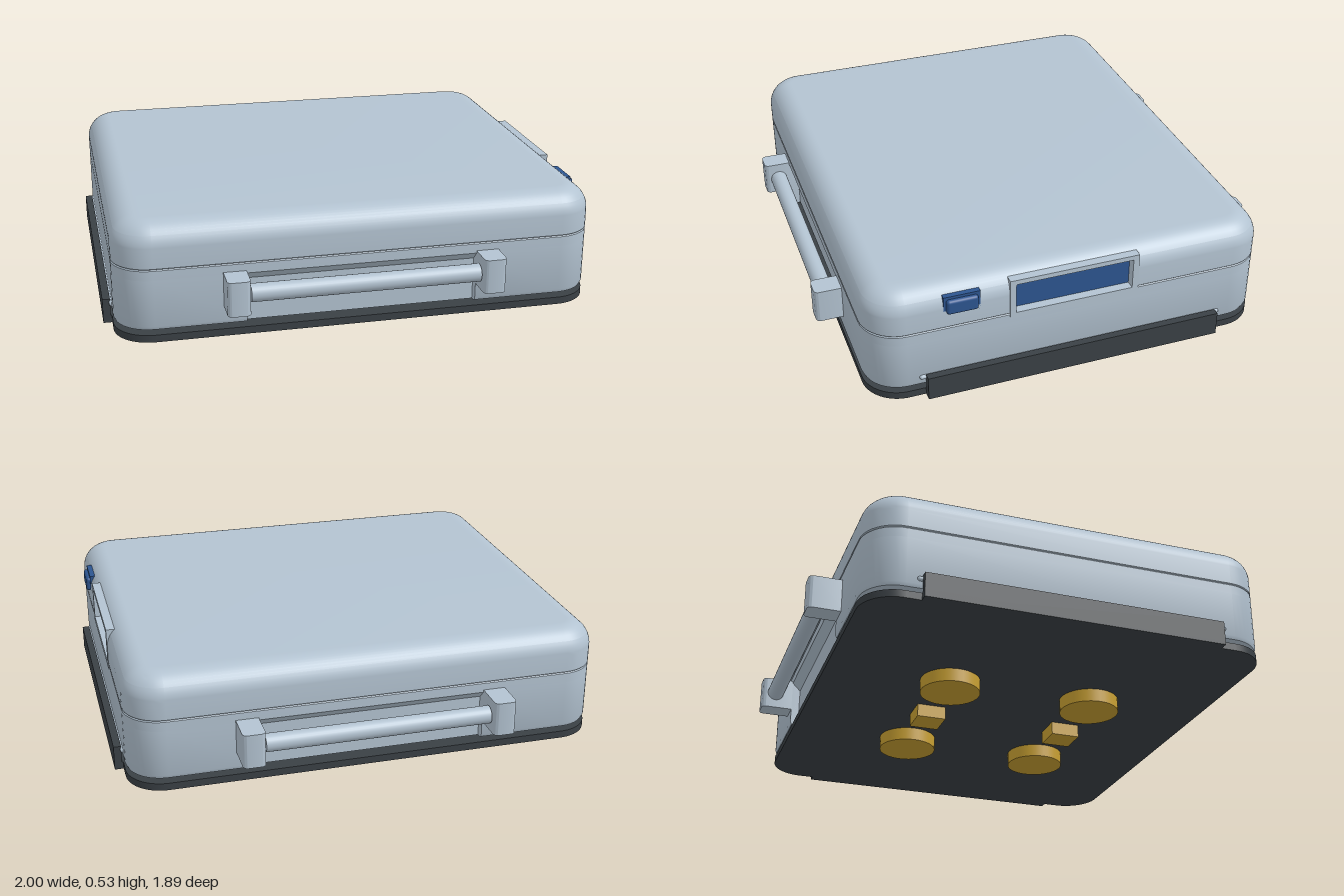
import * as THREE from 'three';
import { toCreasedNormals } from 'three/addons/utils/BufferGeometryUtils.js';
import { RoundedBoxGeometry } from 'three/addons/geometries/RoundedBoxGeometry.js';

const HX = 0.965, HZ = 0.824, ZC = 0.012, CORNER = 0.15;
const GRIP = { half: 0.46, depth: 0.035 };
const WINDOW = { z0: -0.225, z1: 0.255, x: 0.915 };

const mat = (name, color) => {
  const m = new THREE.MeshStandardMaterial({ color });
  m.name = name;
  return m;
};

// Plan outline of the case, optionally notched for the grips or the window
function ring(inset, notch) {
  const pts = [];
  const r = CORNER - inset, cx = HX - CORNER, cz = HZ - CORNER;
  const signs = [[1, 1], [-1, 1], [-1, -1], [1, -1]];
  signs.forEach(([sx, sz], q) => {
    for (let i = 0; i <= 10; i++) {
      const a = (q + i / 10) * Math.PI / 2;
      pts.push(new THREE.Vector2(sx * cx + r * Math.cos(a), ZC + sz * cz + r * Math.sin(a)));
    }
    if (notch === 'grip' && q % 2 === 0) {
      const s = q === 0 ? 1 : -1, edge = ZC + s * (HZ - inset), deep = ZC + s * (HZ - GRIP.depth);
      [[s, edge], [s, deep], [-s, deep], [-s, edge]].forEach(([k, z]) => pts.push(new THREE.Vector2(k * GRIP.half, z)));
    }
    if (notch === 'window' && q === 3) {
      const x = HX - inset;
      [[x, WINDOW.z0], [WINDOW.x, WINDOW.z0], [WINDOW.x, WINDOW.z1], [x, WINDOW.z1]]
        .forEach(([px, pz]) => pts.push(new THREE.Vector2(px, pz)));
    }
  });
  return pts;
}

// Closed solid through outlines at [inset, y] levels
function loft(levels, notch) {
  const rings = levels.map(([inset]) => ring(inset, notch));
  const n = rings[0].length, pos = [], idx = [];
  rings.forEach((pts, k) => pts.forEach(p => pos.push(p.x, levels[k][1], p.y)));
  for (let k = 0; k < rings.length - 1; k++) {
    for (let i = 0; i < n; i++) {
      const a = k * n + i, b = k * n + (i + 1) % n;
      idx.push(a, a + n, b + n, a, b + n, b);
    }
  }
  [0, rings.length - 1].forEach(k => {
    const p = rings[k];
    THREE.ShapeUtils.triangulateShape(p, []).forEach(([a, b, c]) => {
      const area = (p[b].x - p[a].x) * (p[c].y - p[a].y) - (p[b].y - p[a].y) * (p[c].x - p[a].x);
      const facesDown = area > 0;
      if (facesDown !== (k === 0)) [b, c] = [c, b];
      idx.push(k * n + a, k * n + b, k * n + c);
    });
  });
  const g = new THREE.BufferGeometry();
  g.setAttribute('position', new THREE.Float32BufferAttribute(pos, 3));
  g.setIndex(idx);
  return toCreasedNormals(g, 0.5);
}

// Flat slab with rounded vertical corners, standing on y = 0
function slab(w, d, r, h) {
  const s = new THREE.Shape(), x = w / 2, z = d / 2, q = Math.PI / 2;
  s.absarc(x - r, z - r, r, 0, q);
  s.absarc(-x + r, z - r, r, q, 2 * q);
  s.absarc(-x + r, -z + r, r, 2 * q, 3 * q);
  s.absarc(x - r, -z + r, r, 3 * q, 4 * q);
  const g = new THREE.ExtrudeGeometry(s, { depth: h, bevelEnabled: false, curveSegments: 10 });
  g.rotateX(-q);
  return toCreasedNormals(g, 0.5);
}

export function createModel() {
  const shell = mat('pale blue grey shell', 0xb3c3d1);
  const charcoal = mat('charcoal base', 0x3a4045);
  const blue = mat('deep blue', 0x2d5590);
  const gold = mat('gold feet', 0xc79f32);
  const taupe = mat('taupe pad', 0xa59b8a);

  const model = new THREE.Group();
  model.name = 'case';
  const add = (name, geo, material, x = 0, y = 0, z = 0, parent = model) => {
    const m = new THREE.Mesh(geo, material);
    m.name = name;
    m.position.set(x, y, z);
    parent.add(m);
    return m;
  };
  const box = (w, h, d) => new THREE.BoxGeometry(w, h, d);

  // Lower case: grip recesses reach from the underside up to y = 0.31
  add('lowerCase', loft([[0.02, 0.1], [0.006, 0.106], [0, 0.12], [0, 0.31]], 'grip'), shell);
  add('caseRim', loft([[0, 0.31], [0, 0.349], [0.004, 0.353]]), shell);

  // Lid with rounded top edge, opened on the left side for the window
  const R = 0.1, TOP = 0.53, CUT = 0.485;
  const fillet = y => [R - Math.sqrt(Math.max(0, R * R - (y - TOP + R) ** 2)), y];
  const lower = [[0.004, 0.353], [0, 0.357]], upper = [];
  for (let i = 0; i <= 6; i++) lower.push(fillet(TOP - R + (CUT - TOP + R) * i / 6));
  const start = Math.asin((CUT - TOP + R) / R);
  for (let i = 0; i <= 8; i++) {
    const a = start + (Math.PI / 2 - start) * i / 8;
    upper.push([R - R * Math.cos(a), TOP - R + R * Math.sin(a)]);
  }
  add('lidWall', loft(lower, 'window'), shell);
  add('lidTop', loft(upper), shell);

  // Window bezel and recessed panel
  const frame = new THREE.Shape([[-0.28, 0.33], [0.25, 0.33], [0.25, 0.505], [-0.28, 0.505]]
    .map(p => new THREE.Vector2(...p)));
  frame.holes.push(new THREE.Path([[-0.255, 0.355], [-0.255, 0.485], [0.225, 0.485], [0.225, 0.355]]
    .map(p => new THREE.Vector2(...p))));
  const bezel = new THREE.ExtrudeGeometry(frame, { depth: 0.039, bevelEnabled: false });
  bezel.rotateY(Math.PI / 2);
  add('windowBezel', bezel, shell, 0.928);
  add('windowPanel', box(0.02, 0.13, 0.48), blue, 0.92, 0.42, 0.015);

  // Push button beside the window
  add('buttonSurround', box(0.04, 0.085, 0.145), blue, 0.945, 0.45, 0.47);
  add('button', new RoundedBoxGeometry(0.06, 0.062, 0.125, 3, 0.012), blue, 0.952, 0.45, 0.47);

  // Grips on the front and back
  for (const s of [1, -1]) {
    const grip = new THREE.Group();
    grip.name = s > 0 ? 'frontGrip' : 'backGrip';
    model.add(grip);
    const wall = ZC + s * HZ, outer = s * 0.945, inner = wall - s * 0.04;
    for (const side of [1, -1]) {
      add('gripBlock', slab(0.09, Math.abs(outer - inner), 0.02, 0.14), shell,
        side * 0.505, 0.18, (outer + inner) / 2, grip);
    }
    const bar = new THREE.CylinderGeometry(0.036, 0.036, 0.91, 28).rotateZ(Math.PI / 2);
    add('gripBar', bar, shell, 0, 0.25, s * 0.888, grip);
    const pin = new THREE.CylinderGeometry(0.015, 0.015, 0.96, 16).rotateZ(Math.PI / 2);
    add('gripPin', pin, shell, 0, 0.25, s * 0.888, grip);

    // Sloped ceiling of the recess
    const d = GRIP.depth;
    const wedge = new THREE.Shape([[0, 0.31], [d, 0.31], [0, 0.275]].map(p => new THREE.Vector2(...p)));
    const wedgeGeo = new THREE.ExtrudeGeometry(wedge, { depth: 2 * GRIP.half, bevelEnabled: false });
    wedgeGeo.translate(0, 0, -GRIP.half).rotateY(-s * Math.PI / 2);
    add('recessCeiling', wedgeGeo, shell, 0, 0, wall - s * d, grip);
  }

  // Base plate with raised side lips and thin rails behind them
  add('basePlate', slab(2 * HX, 2 * HZ, CORNER, 0.03), charcoal, 0, 0.055, ZC);
  for (const s of [1, -1]) {
    add('baseTab', box(0.08, 0.03, 1.22), charcoal, s * 0.96, 0.07, 0.01);
    add('baseLip', box(0.03, 0.1, 1.22), charcoal, s * 0.985, 0.105, 0.01);
    const rail = new THREE.CapsuleGeometry(0.01, 1.245, 4, 10).rotateX(Math.PI / 2);
    add('sideRail', rail, shell, s * 0.965, 0.142, 0.012);
  }
  add('spacerPad', box(1.08, 0.02, 1.43), taupe, 0, 0.094, -0.005);

  // Feet and central blocks
  for (const z of [0.322, -0.295]) {
    for (const x of [-0.328, 0.328]) {
      add('foot', new THREE.CylinderGeometry(0.124, 0.124, 0.056, 40), gold, x, 0.028, z);
    }
    add('centreBlock', box(0.124, 0.056, 0.124), gold, 0, 0.028, z);
  }
  return model;
}
